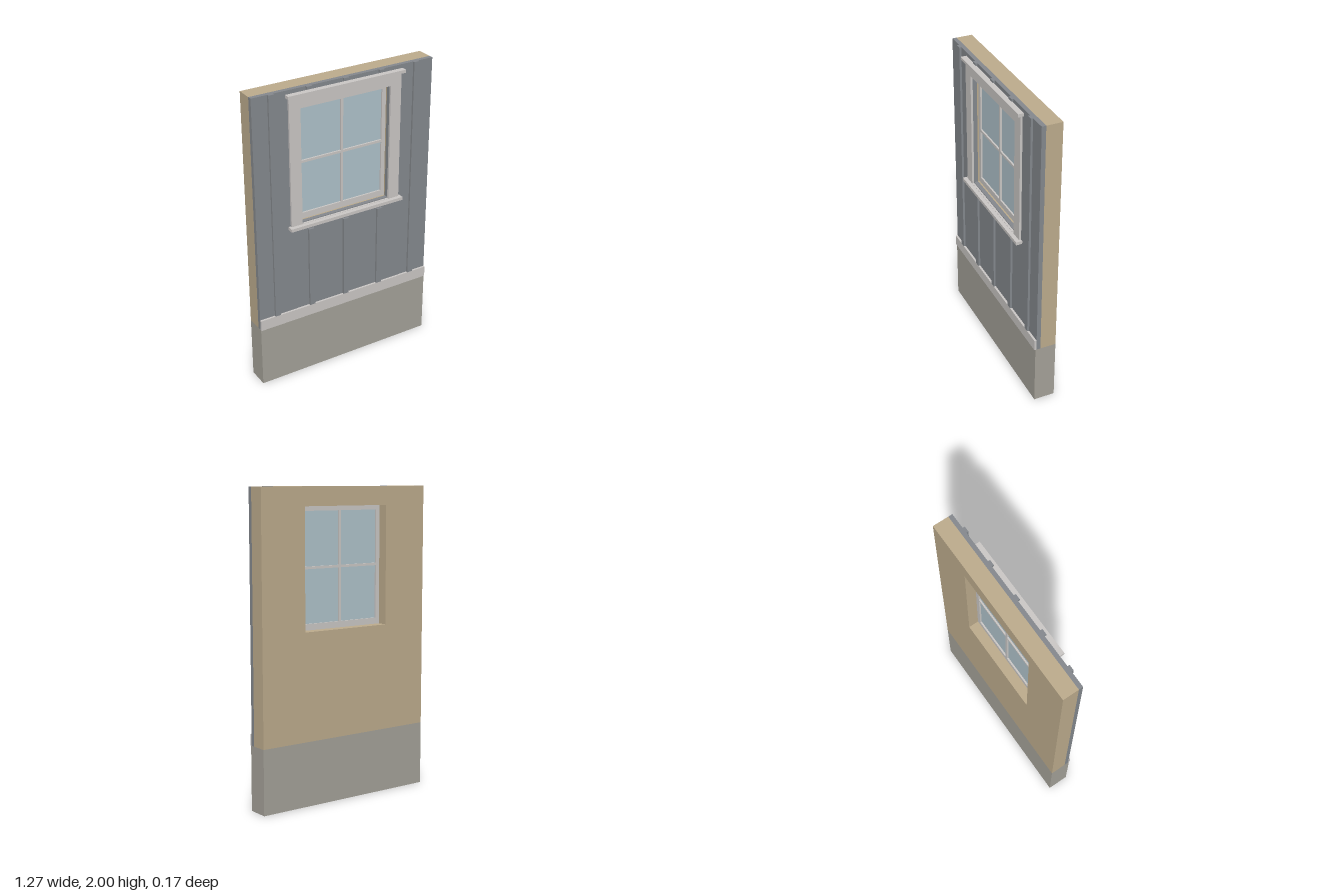
import * as THREE from 'three';

const mat = (name, color) => {
  const m = new THREE.MeshStandardMaterial({ color });
  m.name = name;
  return m;
};

export function createModel() {
  const concrete = mat('concrete', 0xa5a299);
  const plaster = mat('tan wall', 0xbdac8d);
  const siding = mat('grey siding', 0x85898e);
  const trim = mat('pale trim', 0xcbc8c6);
  const glass = mat('window glass', 0xb0c3cb);

  const wall = new THREE.Group();
  wall.name = 'windowWall';
  const W = 0.633;          // half width of the wall
  const BACK = -0.087;

  // Box given by its limits on each axis
  const box = (name, m, x0, x1, y0, y1, z0, z1) => {
    const mesh = new THREE.Mesh(new THREE.BoxGeometry(x1 - x0, y1 - y0, z1 - z0), m);
    mesh.position.set((x0 + x1) / 2, (y0 + y1) / 2, (z0 + z1) / 2);
    mesh.name = name;
    wall.add(mesh);
  };

  // Slab with rectangular holes; rectangles are [x0, x1, y0, y1]
  const rect = (target, [x0, x1, y0, y1]) => {
    target.moveTo(x0, y0).lineTo(x1, y0).lineTo(x1, y1).lineTo(x0, y1).closePath();
    return target;
  };
  const slab = (name, m, outer, holes, z0, z1) => {
    const shape = rect(new THREE.Shape(), outer);
    shape.holes = holes.map((h) => rect(new THREE.Path(), h));
    const geo = new THREE.ExtrudeGeometry(shape, { depth: z1 - z0, bevelEnabled: false });
    geo.translate(0, 0, z0);
    const mesh = new THREE.Mesh(geo, m);
    mesh.name = name;
    wall.add(mesh);
  };

  const opening = [-0.318, 0.318, 1.11, 1.88];

  // Wall layers
  box('foundation', concrete, -W, W, 0, 0.417, BACK, 0.053);
  slab('innerWall', plaster, [-W, W, 0.417, 2], [opening], BACK, 0.018);
  slab('sidingPanel', siding, [-W, W, 0.417, 2], [opening], 0.018, 0.046);
  box('baseBand', trim, -W, W, 0.417, 0.49, 0.046, 0.06);

  // Battens: the outer pair runs full height, the others break at the window
  for (const x of [-0.508, -0.254, 0, 0.254, 0.508]) {
    const strip = (y0, y1) => box('batten', siding, x - 0.019, x + 0.019, y0, y1, 0.046, 0.06);
    if (Math.abs(x) > 0.4) strip(0.49, 2);
    else {
      strip(0.49, 1.05);
      strip(1.985, 2);
    }
  }

  // Window casing, head cap and sill
  slab('casing', trim, [-0.395, 0.395, 1.085, 1.965], [[-0.318, 0.318, 1.105, 1.88]], 0.046, 0.06);
  box('headCap', trim, -0.411, 0.411, 1.955, 1.975, 0.046, 0.083);
  box('sill', trim, -0.411, 0.411, 1.082, 1.103, 0.046, 0.087);

  // Sash with four lights, and the panes
  const lights = [];
  for (const [x0, x1] of [[-0.29, -0.008], [0.008, 0.29]])
    for (const [y0, y1] of [[1.15, 1.492], [1.508, 1.85]]) lights.push([x0, x1, y0, y1]);
  slab('sash', trim, opening, lights, -0.02, 0.008);
  for (const [x0, x1, y0, y1] of lights) box('pane', glass, x0, x1, y0, y1, -0.009, -0.003);

  return wall;
}
